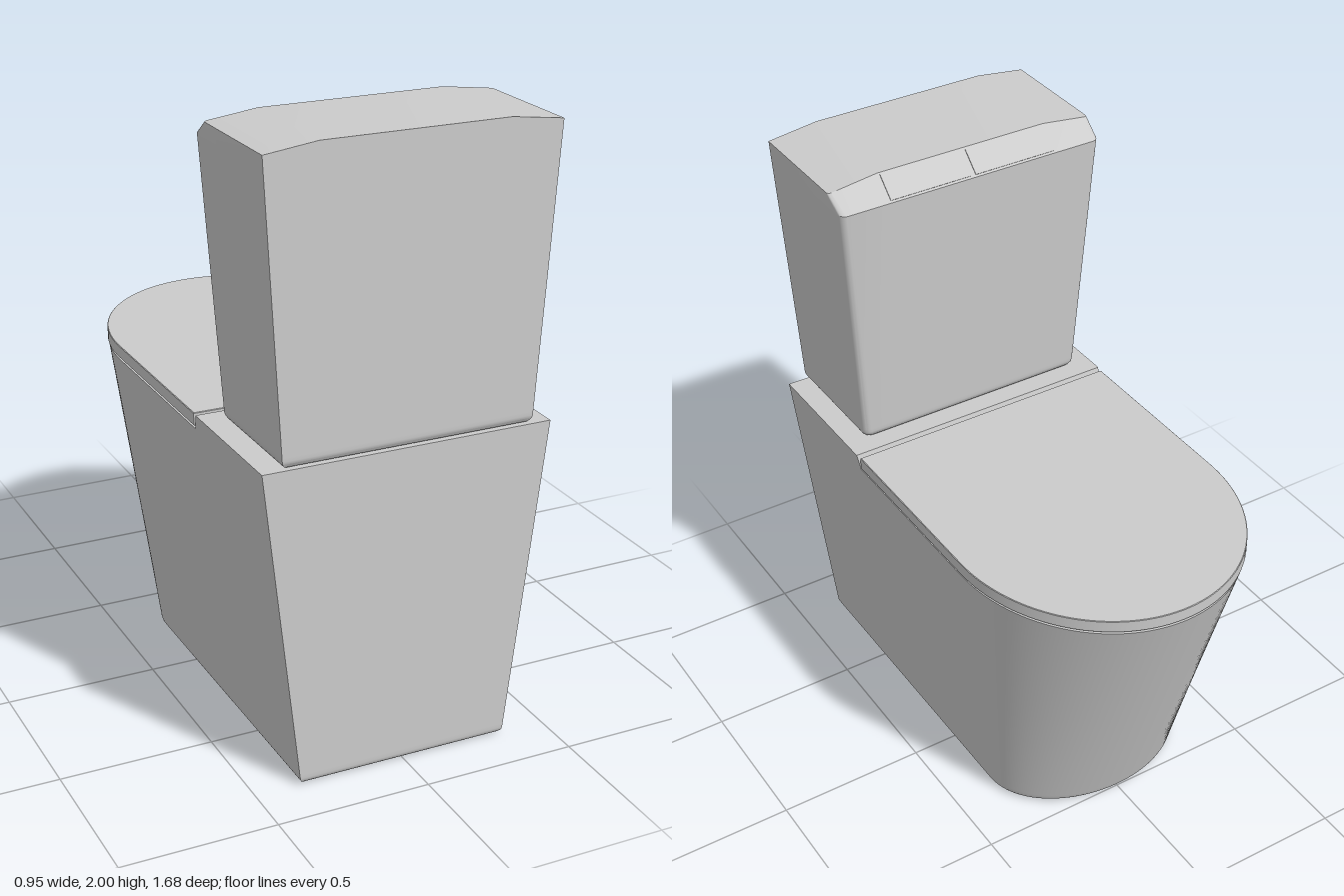
import * as THREE from 'three';
import { toCreasedNormals } from 'three/addons/utils/BufferGeometryUtils.js';

const material = new THREE.MeshStandardMaterial({ color: 0xcccccc });
const lerp = THREE.MathUtils.lerp;

// Skins horizontal sections from bottom to top. A section has an outline running
// from +x to -x round its -z side, closed by a straight edge at z = back.
// drop(x) lowers points of the section, to arch it.
function loft(name, sections) {
  const pos = [], index = [];
  const m = sections[0].outline.length, n = 2 * m;
  for (const { y, outline, back, drop = () => 0 } of sections) {
    for (const [x, z] of outline) pos.push(x, y - drop(x), z);
    for (const [x] of [...outline].reverse()) pos.push(x, y - drop(x), back);
  }
  const quad = (a, b, c, d) => index.push(a, b, c, a, c, d);
  for (let s = 0; s < sections.length - 1; s++) {
    for (let i = 0; i < n; i++) {
      const j = (i + 1) % n, lo = s * n, hi = lo + n;
      quad(lo + i, lo + j, hi + j, hi + i);
    }
  }
  const top = (sections.length - 1) * n;
  for (let i = 0; i < m - 1; i++) {
    quad(i, n - 1 - i, n - 2 - i, i + 1);
    quad(top + i, top + i + 1, top + n - 2 - i, top + n - 1 - i);
  }
  const geo = new THREE.BufferGeometry();
  geo.setAttribute('position', new THREE.Float32BufferAttribute(pos, 3));
  geo.setIndex(index);
  const mesh = new THREE.Mesh(toCreasedNormals(geo, 0.5), material);
  mesh.name = name;
  return mesh;
}

// Half ellipse: half width w, centre zc, tip at z = tip
function roundOutline(w, zc, tip) {
  const pts = [];
  for (let i = 0; i <= 64; i++) {
    const t = (i / 64) * Math.PI;
    pts.push([w * Math.cos(t), zc + (tip - zc) * Math.sin(t)]);
  }
  return pts;
}

// Straight edge at z with rounded corners of radius r
function boxOutline(w, z, r) {
  const half = [];
  for (let i = 0; i <= 6; i++) {
    const t = (i / 6) * Math.PI / 2;
    half.push([w - r + r * Math.cos(t), z + r - r * Math.sin(t)]);
  }
  half.push([0.3, z]);
  return [...half, ...[...half].reverse().map(([x, zz]) => [-x, zz])];
}

// Steps of a rounded bottom edge: height above the base and inset
function fillet(r) {
  return [0, 1, 2, 3, 4, 5].map(i => {
    const t = (i / 5) * Math.PI / 2;
    return [r * (1 - Math.cos(t)), r * (1 - Math.sin(t))];
  });
}

// Slab with a rounded end and softened edges
function roundSlab(name, y0, y1, inset, back, bevel) {
  const at = (y, d) => ({ y, back: back - d, outline: roundOutline(0.472 - d, -0.3, -0.84 + d) });
  return loft(name, [
    at(y0, inset + bevel), at(y0 + bevel, inset), at(y1 - bevel, inset), at(y1, inset + bevel),
  ]);
}

export function createModel() {
  const model = new THREE.Group();
  model.name = 'toilet';

  // Pedestal bowl: flat back, tapering down to a smaller round-nosed foot
  const bowlSection = (y, inset) => ({
    y,
    back: 0.84 - inset,
    outline: roundOutline(
      lerp(0.35, 0.469, y) - inset, lerp(-0.25, -0.3, y), lerp(-0.503, -0.838, y) + inset),
  });
  model.add(loft('bowl', [
    ...fillet(0.022).map(([y, d]) => bowlSection(y, d)),
    bowlSection(0.035, 0), bowlSection(0.5, 0), bowlSection(0.985, 0), bowlSection(1.0, 0),
  ]));

  // Deck behind the lid, with a sloping front edge
  const deckSection = (y, w, z) => ({ y, back: 0.84, outline: [[w, z], [-w, z]] });
  model.add(loft('deck', [deckSection(1.0, 0.469, 0.34), deckSection(1.05, 0.475, 0.355)]));

  // Recessed seat showing as a thin shadow gap, and the lid over it
  model.add(roundSlab('seat', 0.998, 1.012, 0.012, 0.33, 0.001));
  model.add(roundSlab('lid', 1.008, 1.05, 0, 0.335, 0.002));

  // Cistern: widens upward, chamfered top front edge, gently arched top
  const tankSection = (y, inset = 0) => {
    const k = (y - 1.05) / 0.88;
    return {
      y,
      back: 0.84 - inset,
      outline: boxOutline(lerp(0.41, 0.467, k) - inset, lerp(0.41, 0.365, k) + inset, 0.025),
    };
  };
  const arch = x => 0.022 * Math.max(0, (Math.abs(x) - 0.3) / 0.17);
  model.add(loft('cistern', [
    ...fillet(0.028).map(([h, d]) => tankSection(1.05 + h, d)),
    tankSection(1.09), tankSection(1.92), tankSection(1.93),
    { y: 2.0, back: 0.84, outline: boxOutline(0.47, 0.44, 0.012), drop: arch },
  ]));

  // Two flush buttons lying on the chamfer
  for (const side of [-1, 1]) {
    const button = new THREE.Mesh(new THREE.BoxGeometry(0.286, 0.01, 0.088), material);
    button.name = side > 0 ? 'leftFlushButton' : 'rightFlushButton';
    button.position.set(side * 0.151, 1.9635, 0.4045);
    button.rotation.x = -Math.atan2(0.07, 0.075);
    model.add(button);
  }
  return model;
}
